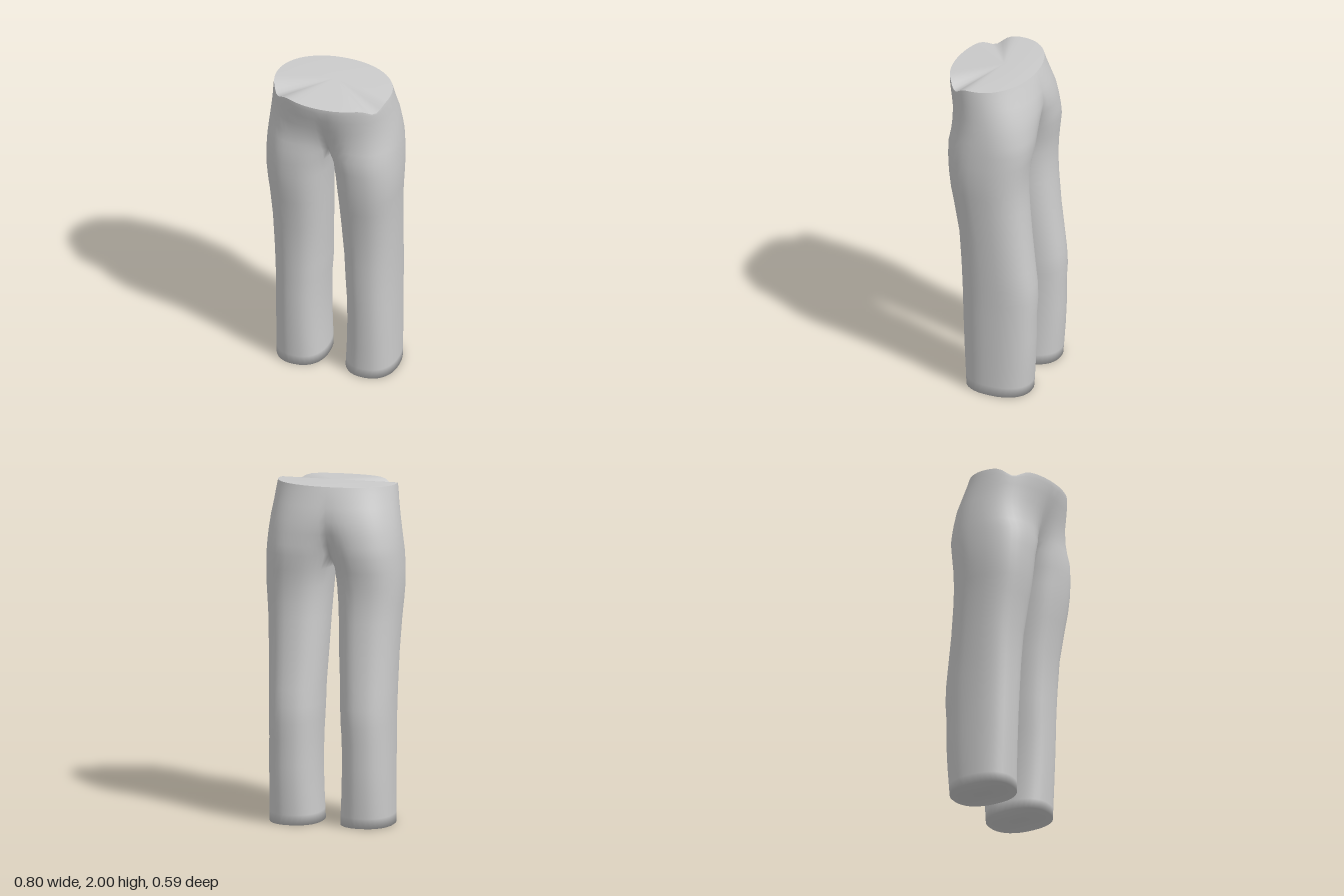
import * as THREE from 'three';
import { mergeVertices } from 'three/addons/utils/BufferGeometryUtils.js';

const N = 36;      // columns around one leg
const ARC = 30;    // columns 0..ARC wrap the outside, the rest run along the inner thigh

// Hip rows: y, half width, front z, back z, blend towards the leg outline
const HIPS = [
  [1.985, 0.35, 0.295, -0.208, 0],
  [1.95, 0.356, 0.295, -0.222, 0],
  [1.88, 0.364, 0.285, -0.25, 0.08],
  [1.8, 0.376, 0.268, -0.275, 0.2],
  [1.72, 0.386, 0.258, -0.28, 0.4],
  [1.65, 0.393, 0.252, -0.275, 0.65],
  [1.59, 0.397, 0.248, -0.262, 0.95],
];
// Leg rows: y, inner x, outer x, front z, back z
const LEGS = [
  [1.5, 0.008, 0.401, 0.243, -0.245],
  [1.4, 0.02, 0.401, 0.236, -0.233],
  [1.3, 0.028, 0.394, 0.225, -0.231],
  [1.2, 0.034, 0.386, 0.207, -0.236],
  [1.0, 0.042, 0.377, 0.173, -0.253],
  [0.8, 0.054, 0.371, 0.16, -0.277],
  [0.7, 0.056, 0.369, 0.156, -0.289],
  [0.6, 0.06, 0.367, 0.152, -0.294],
  [0.5, 0.066, 0.366, 0.149, -0.287],
  [0.35, 0.068, 0.366, 0.144, -0.287],
  [0.2, 0.065, 0.366, 0.138, -0.28],
  [0.06, 0.058, 0.366, 0.132, -0.27],
  [0, 0.055, 0.366, 0.13, -0.265],
];

const power = (v, p) => Math.sign(v) * Math.abs(v) ** p;

// Rounded outline point; angle 0 faces front, 90 degrees faces outward
function outline(angle, x0, x1, zf, zb, p) {
  return [
    (x0 + x1) / 2 + (x1 - x0) / 2 * power(Math.sin(angle), p),
    (zf + zb) / 2 + (zf - zb) / 2 * power(Math.cos(angle), p),
  ];
}

const legAngle = (i) => (-60 + i * 360 / N) * Math.PI / 180;

function hipPoint([y, w, zf, zb, blend], i, row) {
  const u = i / ARC;
  const a = outline(u * Math.PI, -w, w, zf, zb, 0.95);
  const b = outline(legAngle(i), -0.02, w, zf, zb, 0.86);
  const x = i === 0 || i === ARC ? 0 : Math.max(0.004, THREE.MathUtils.lerp(a[0], b[0], blend));
  const z = THREE.MathUtils.lerp(a[1], b[1], blend);
  // The waist rises to the back and dips at the front pockets
  const fade = Math.max(0, 1 - row / 2);
  const lift = (-0.012 * Math.cos(u * Math.PI) - 0.045 * Math.exp(-(((u - 0.32) / 0.07) ** 2))) * fade;
  return [x, y + lift, z];
}

function legPoint([y, x0, x1, zf, zb], i) {
  const [x, z] = outline(legAngle(i), x0, x1, zf, zb, 0.86);
  return [x, y, z];
}

function buildGeometry(positions, index) {
  const g = new THREE.BufferGeometry();
  g.setAttribute('position', new THREE.Float32BufferAttribute(positions, 3));
  g.setIndex(index);
  const merged = mergeVertices(g, 1e-4);
  merged.computeVertexNormals();
  return merged;
}

export function createModel() {
  const group = new THREE.Group();
  group.name = 'trousers';
  const material = new THREE.MeshStandardMaterial({ color: 0xcccccc, side: THREE.DoubleSide });

  const cloth = [], clothIndex = [], waist = [], waistIndex = [];

  for (const side of [1, -1]) {
    const add = (list, [x, y, z]) => list.push(x * side, y, z) / 3 - 1;
    const tri = (list, a, b, c) => (side > 0 ? list.push(a, b, c) : list.push(a, c, b));

    // Hips, with the last row closed by the crotch seam
    const rows = HIPS.map((row, r) => {
      const ring = [];
      for (let i = 0; i <= ARC; i++) ring.push(hipPoint(row, i, r));
      return ring;
    });
    const crotch = rows[rows.length - 1];
    const front = crotch[0], back = crotch[ARC];
    for (let i = ARC + 1; i < N; i++) {
      const t = (i - ARC) / (N - ARC);
      crotch.push([0, front[1] - 0.06 * Math.sin(t * Math.PI), THREE.MathUtils.lerp(back[2], front[2], t)]);
    }

    // Leg
    for (const row of LEGS) {
      const ring = [];
      for (let i = 0; i < N; i++) ring.push(legPoint(row, i));
      rows.push(ring);
    }

    // Skin the rows from the waist down to the hem
    const ids = rows.map((ring) => ring.map((p) => add(cloth, p)));
    for (let r = 0; r < ids.length - 1; r++) {
      const isLeg = r >= HIPS.length - 1;
      for (let i = 0; i < (isLeg ? N : ARC); i++) {
        const j = (i + 1) % N;
        tri(clothIndex, ids[r][i], ids[r + 1][i], ids[r][j]);
        tri(clothIndex, ids[r][j], ids[r + 1][i], ids[r + 1][j]);
      }
    }

    // Closed hem
    const hem = ids[ids.length - 1];
    const sole = add(cloth, [0.21, 0, -0.067]);
    for (let i = 0; i < N; i++) tri(clothIndex, sole, hem[(i + 1) % N], hem[i]);

    // Closed waist
    const centre = add(waist, [0, 2, 0]);
    const rim = rows[0].map((p) => add(waist, p));
    for (let i = 0; i < ARC; i++) tri(waistIndex, centre, rim[i], rim[i + 1]);
  }

  const body = new THREE.Mesh(buildGeometry(cloth, clothIndex), material);
  body.name = 'hipsAndLegs';
  const cap = new THREE.Mesh(buildGeometry(waist, waistIndex), material);
  cap.name = 'waistTop';
  group.add(body, cap);
  return group;
}
